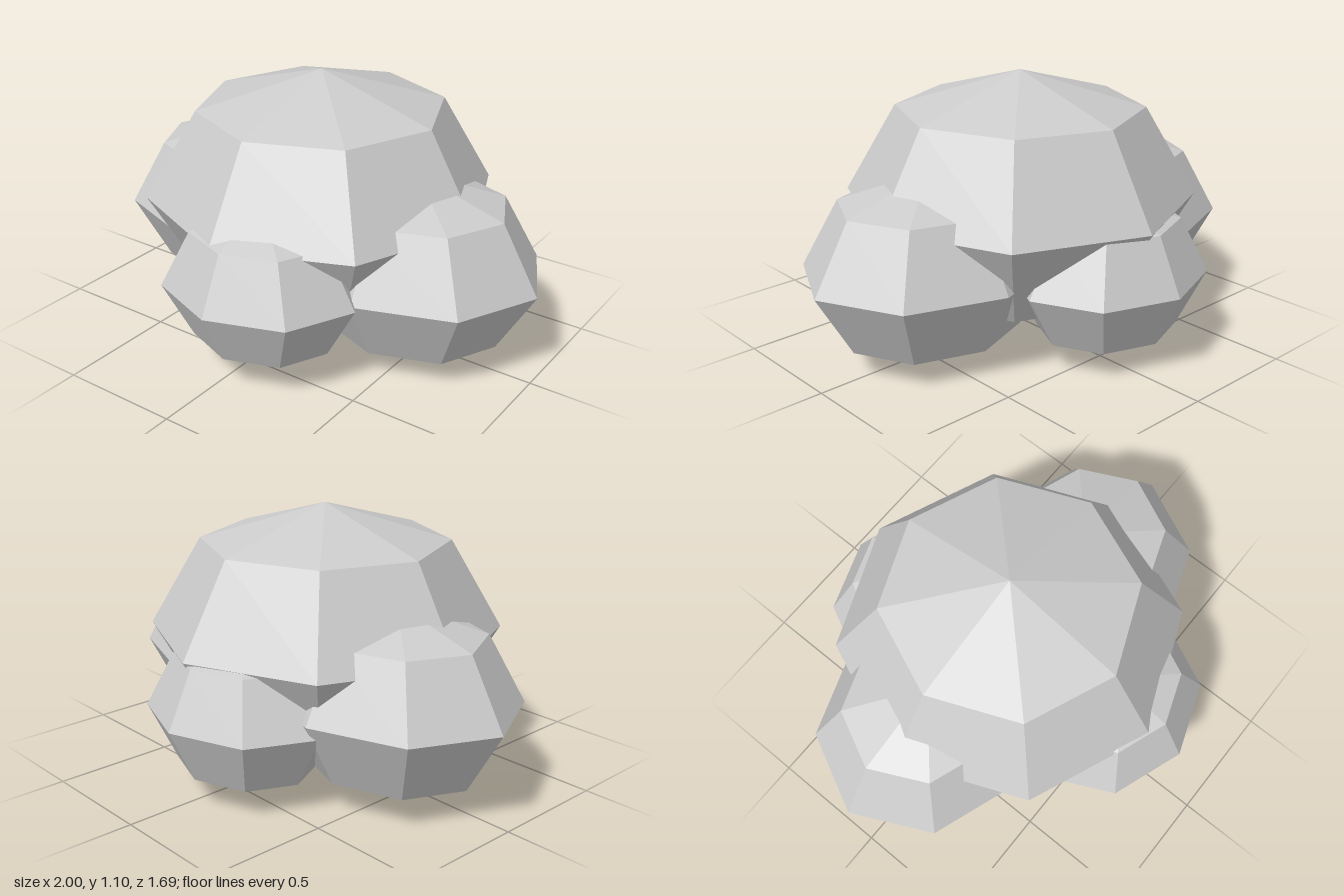
import * as THREE from 'three';

export function createModel() {
  const bush = new THREE.Group();
  bush.name = 'bush';
  const material = new THREE.MeshStandardMaterial({ color: 0xcccccc, flatShading: true });

  // Every clump is a squashed eight-sided ball: name, centre, radii
  const clumps = [
    ['crown', [-0.01, 0.587, -0.011], [0.727, 0.515, 0.727]],
    ['leftClump', [0.46, 0.386, 0.005], [0.54, 0.382, 0.465]],
    ['rightClump', [-0.46, 0.405, -0.06], [0.54, 0.382, 0.465]],
    ['frontClump', [0.061, 0.377, 0.477], [0.428, 0.318, 0.37]],
    ['backClump', [-0.057, 0.35, -0.477], [0.428, 0.318, 0.37]],
  ];

  for (const [name, centre, radii] of clumps) {
    const geometry = new THREE.SphereGeometry(1, 8, 4).scale(...radii);
    const mesh = new THREE.Mesh(geometry, material);
    mesh.name = name;
    mesh.position.set(...centre);
    bush.add(mesh);
  }
  return bush;
}
